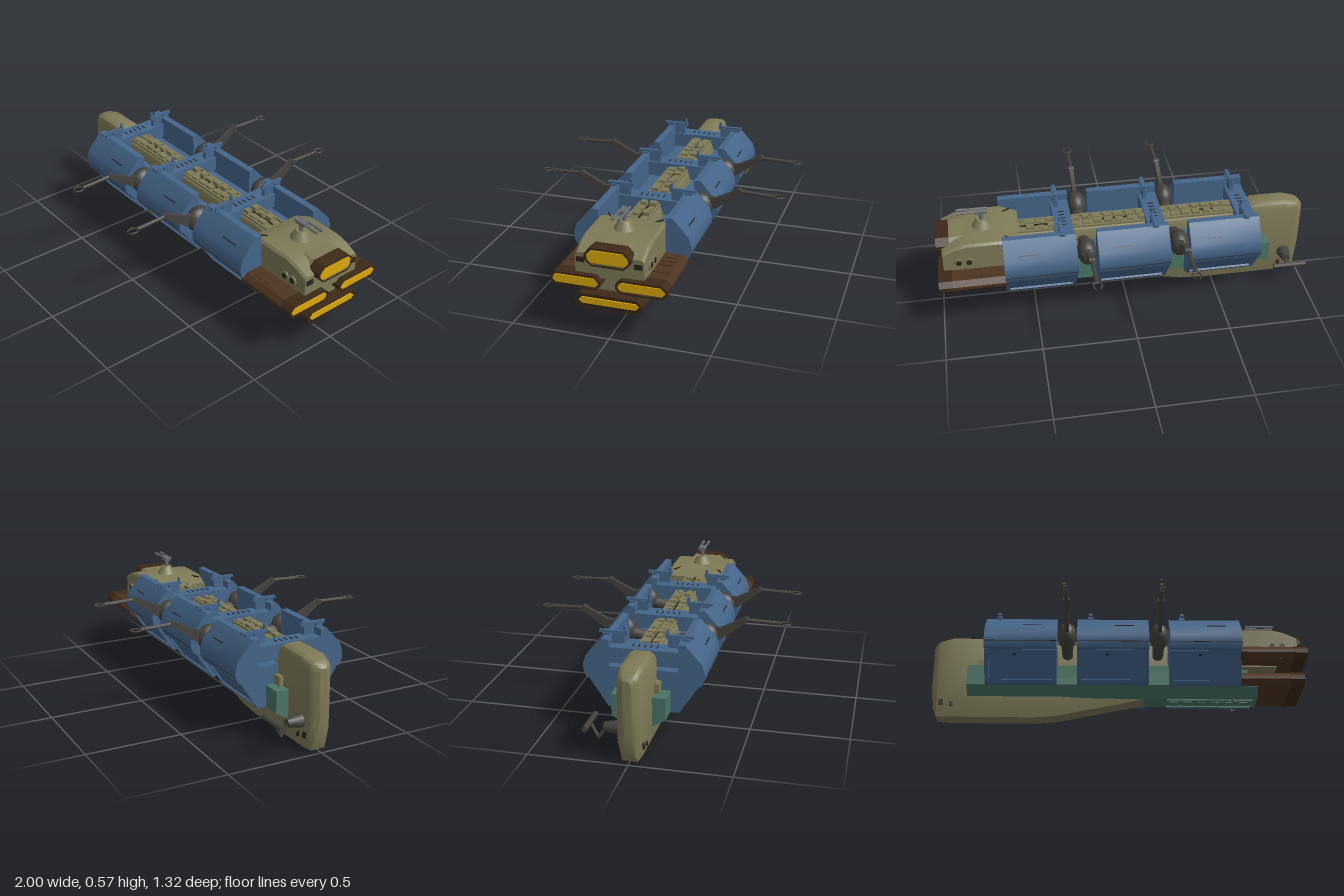
import * as THREE from 'three';
import { toCreasedNormals } from 'three/addons/utils/BufferGeometryUtils.js';

const mat = (name, color) => {
  const m = new THREE.MeshStandardMaterial({ color });
  m.name = name;
  return m;
};

export function createModel() {
  const root = new THREE.Group();
  root.name = 'cargoShip';
  const khaki = mat('khaki hull', 0x7d7957), blue = mat('blue pods', 0x456589), green = mat('green chassis', 0x4a7565),
    brown = mat('brown engines', 0x4d3420), gold = mat('gold glow', 0xdca80a), grey = mat('dark grey arms', 0x43423e),
    steel = mat('gun steel', 0x6b6c70), dark = mat('dark trim', 0x2b231b), darkBrown = mat('dark brown nozzles', 0x3d2917);

  const add = (name, geo, material, parent = root) => {
    const m = new THREE.Mesh(geo, material);
    m.name = name;
    parent.add(m);
    return m;
  };
  const group = (name, parent = root) => {
    const g = new THREE.Group();
    g.name = name;
    parent.add(g);
    return g;
  };
  // box from its centre and size
  const box = (name, c, s, material, parent) => {
    const m = add(name, new THREE.BoxGeometry(...s), material, parent);
    m.position.set(...c);
    return m;
  };
  // tapered rod between two points
  const rod = (name, a, b, r0, r1, material, parent, sides = 10) => {
    const p = new THREE.Vector3(...a), q = new THREE.Vector3(...b), d = q.clone().sub(p);
    const m = add(name, new THREE.CylinderGeometry(r1, r0, d.length(), sides), material, parent);
    m.position.copy(p).add(q).multiplyScalar(0.5);
    m.quaternion.setFromUnitVectors(new THREE.Vector3(0, 1, 0), d.normalize());
    return m;
  };
  // [z, y] outline extruded along x, optionally with a hole
  const path = (pts) => pts.map(([z, y]) => new THREE.Vector2(-z, y));
  const prism = (pts, x0, x1, hole) => {
    const s = new THREE.Shape(path(pts));
    if (hole) s.holes.push(new THREE.Path(path(hole)));
    const g = new THREE.ExtrudeGeometry(s, { depth: x1 - x0, bevelEnabled: false });
    return toCreasedNormals(g.rotateY(Math.PI / 2).translate(x0, 0, 0), 0.5);
  };
  const octagon = (cz, cy, w, h, c) => [[w, h - c], [w - c, h], [c - w, h], [-w, h - c], [-w, c - h], [c - w, -h], [w - c, -h], [w, c - h]]
    .map(([z, y]) => [cz + z, cy + y]);
  // rings of [z, y] at given x joined into a closed skin
  const loft = (stations) => {
    const v = [], rings = stations.map(([x, pts]) => pts.map(([z, y]) => [x, y, z]));
    const n = rings[0].length, last = rings[rings.length - 1];
    for (let i = 0; i < rings.length - 1; i++) {
      const a = rings[i], b = rings[i + 1];
      for (let j = 0; j < n; j++) {
        const k = (j + 1) % n;
        v.push(...a[j], ...b[j], ...b[k], ...a[j], ...b[k], ...a[k]);
      }
    }
    for (let j = 1; j < n - 1; j++) {
      v.push(...rings[0][0], ...rings[0][j], ...rings[0][j + 1], ...last[0], ...last[j + 1], ...last[j]);
    }
    const g = new THREE.BufferGeometry();
    g.setAttribute('position', new THREE.Float32BufferAttribute(v, 3));
    return toCreasedNormals(g, 0.55);
  };
  const mirrored = (half) => [...half, ...half.slice().reverse().map(([z, y]) => [-z, y])];
  let seed = 7;
  const rand = () => (seed = (seed * 16807) % 2147483647) / 2147483647;

  // tall nose, keel and spine: x, bottom y, bottom half width, half width, top y
  const hull = [
    [-1, 0.17, 0.018, 0.022, 0.43], [-0.985, 0.06, 0.03, 0.044, 0.447], [-0.965, 0.01, 0.038, 0.057, 0.458],
    [-0.9, 0.007, 0.045, 0.067, 0.476], [-0.72, 0.006, 0.045, 0.067, 0.476], [-0.66, 0.006, 0.045, 0.067, 0.44],
    [-0.44, 0.005, 0.045, 0.067, 0.44], [-0.32, 0.015, 0.045, 0.067, 0.44], [0.17, 0.118, 0.045, 0.067, 0.44], [0.62, 0.13, 0.045, 0.067, 0.44],
  ];
  add('noseAndSpine', loft(hull.map(([x, yb, bw, w, yt]) =>
    [x, mirrored([[bw, yb], [w, yb + 0.1], [w, yt - 0.035], [w * 0.85, yt - 0.012], [w * 0.55, yt]])])), khaki);
  for (const s of [1, -1]) {
    for (const [x, y, w] of [[-0.94, 0.085, 0.025], [-0.885, 0.075, 0.018]]) {
      const m = box('noseWindow', [x, y, s * 0.0615], [w, 0.03, 0.006], dark);
      m.rotation.x = -s * 0.2;
    }
    box('spineSideBlock', [-0.71, 0.295, s * 0.07], [0.08, 0.05, 0.04], khaki);
  }

  // pipes and small machinery on the spine
  const greebles = group('spineMachinery');
  for (const s of [1, -1]) box('spineRail', [-0.03, 0.443, s * 0.052], [1.2, 0.012, 0.01], khaki, greebles);
  for (let x = -0.58; x < 0.54; x += 0.06) {
    for (const z of [-0.026, 0.026]) {
      const h = 0.01 + rand() * 0.014;
      box('spineBlock', [x, 0.44 + h / 2, z], [0.03 + rand() * 0.025, h, 0.026 + rand() * 0.012], khaki, greebles);
    }
  }
  for (const x of [-0.46, 0.03, 0.47]) box('spineSlot', [x, 0.441, 0], [0.16, 0.006, 0.01], dark, greebles);

  // green chassis
  add('chassis', prism(mirrored([[0.06, 0.113], [0.135, 0.158], [0.135, 0.27]]), -0.8, 0.7), green);
  add('chassisTail', prism(mirrored([[0.06, 0.113], [0.13, 0.156], [0.13, 0.172]]), 0.7, 0.755), green);
  for (const z of [-0.045, 0.045]) box('bellyRail', [0.5, 0.111, z], [0.46, 0.012, 0.016], green);
  for (let i = 0; i < 6; i++) box('bellyBlock', [0.31 + i * 0.075, 0.111, 0], [0.045, 0.01, 0.045], green);
  for (const z of [-0.06, -0.02, 0.02, 0.06]) box('tailSlot', [0.756, 0.138, z], [0.004, 0.012, 0.026], dark);
  for (const z of [-0.06, 0.06]) {
    rod('bellyHook', [0.62, 0.12, z], [0.63, 0.088, z], 0.006, 0.006, grey);
    rod('bellyHookTip', [0.63, 0.09, z], [0.65, 0.1, z], 0.006, 0.003, grey);
  }

  // three pairs of cargo pods
  const podProfile = [[0.172, 0.508], [0.207, 0.51], [0.29, 0.418], [0.304, 0.37], [0.302, 0.335],
    [0.287, 0.303], [0.264, 0.303], [0.165, 0.155], [0.1, 0.155], [0.06, 0.37], [0.172, 0.37]];
  const slope = Math.atan2(0.148, 0.099);
  for (const [x0, x1] of [[-0.7, -0.32], [-0.212, 0.168], [0.278, 0.658]]) {
    const xm = (x0 + x1) / 2, len = x1 - x0;
    // bridge over the spine joining the two pods
    box('podBridge', [x0 + 0.048, 0.43, 0], [0.096, 0.08, 0.35], blue);
    for (let i = 0; i < 5; i++) box('bridgeRivet', [x0 + 0.048, 0.471, (i - 2) * 0.03], [0.03, 0.004, 0.005], dark);
    for (const s of [1, -1]) {
      const pod = group(s > 0 ? 'podLeft' : 'podRight');
      add('podShell', prism(podProfile.map(([z, y]) => [s * z, y]), x0, x1), blue, pod);
      // framed door on the sloping lower side
      const door = group('podDoor', pod);
      door.position.set(xm, 0.23, s * 0.216);
      door.rotation.x = s * (Math.PI / 2 - slope);
      for (const e of [1, -1]) {
        box('doorFrameSide', [e * (len / 2 - 0.012), 0, 0], [0.02, 0.174, 0.02], blue, door);
        box('doorFrameEdge', [0, e * 0.08, 0], [len - 0.024, 0.014, 0.02], blue, door);
      }
      box('doorHandle', [-0.03, 0.062, s * 0.005], [0.014, 0.01, 0.008], dark, door);
      // thin slot and seam on the shell
      const slot = box('shellSlot', [xm + 0.06, 0.444, s * 0.2665], [0.1, 0.006, 0.005], dark, pod);
      slot.rotation.x = -s * 0.73;
      const seam = box('shellSeam', [xm, 0.335, s * 0.3005], [len, 0.003, 0.005], dark, pod);
      seam.rotation.x = s * 0.2;
      // crane bar on top
      const xb = x0 + 0.07;
      box('craneBar', [xb, 0.526, s * 0.165], [0.018, 0.014, 0.14], blue, pod);
      box('craneFoot', [xb, 0.514, s * 0.2], [0.03, 0.014, 0.035], blue, pod);
      rod('cranePost', [xb, 0.51, s * 0.107], [xb, 0.556, s * 0.107], 0.008, 0.008, blue, pod);
      box('craneBrace', [xb, 0.485, s * 0.14], [0.024, 0.075, 0.06], blue, pod);
    }
  }

  // four manipulator arms between the pods
  const upperArm = [[0.21, 0.45], [0.3, 0.452], [0.42, 0.512], [0.435, 0.492], [0.31, 0.395], [0.21, 0.37]];
  for (const x of [-0.267, 0.224]) {
    for (const s of [1, -1]) {
      const arm = group(s > 0 ? 'armLeft' : 'armRight');
      const shoulder = add('shoulder', new THREE.SphereGeometry(0.052, 20, 14), grey, arm);
      shoulder.scale.set(1, 1.35, 1.4);
      shoulder.position.set(x, 0.402, s * 0.22);
      rod('shoulderMount', [x, 0.36, s * 0.05], [x, 0.39, s * 0.2], 0.03, 0.035, grey, arm);
      add('upperArm', prism(upperArm.map(([z, y]) => [s * z, y]), x - 0.011, x + 0.011), grey, arm);
      rod('elbow', [x - 0.016, 0.503, s * 0.43], [x + 0.016, 0.503, s * 0.43], 0.015, 0.015, grey, arm);
      rod('forearm', [x, 0.503, s * 0.43], [x, 0.498, s * 0.6], 0.011, 0.008, grey, arm);
      for (const z of [0.55, 0.575, 0.597]) rod('wristRing', [x, 0.499, s * (z - 0.006)], [x, 0.499, s * (z + 0.006)], 0.012, 0.012, grey, arm);
      const claw = add('claw', new THREE.TorusGeometry(0.022, 0.005, 6, 16, Math.PI * 1.5), grey, arm);
      claw.rotation.set(Math.PI / 2, 0, s > 0 ? -Math.PI * 1.25 : -Math.PI * 0.25);
      claw.position.set(x, 0.498, s * 0.628);
      for (const e of [1, -1]) rod('clawTip', [x + e * 0.018, 0.498, s * 0.642], [x + e * 0.01, 0.498, s * 0.66], 0.005, 0.003, grey, arm);
    }
  }

  // stern block carrying the turret: x, half width, bottom y, top y
  const stern = [[0.56, 0.165, 0.33, 0.44], [0.65, 0.172, 0.25, 0.476], [0.84, 0.172, 0.25, 0.476], [0.9, 0.172, 0.27, 0.462], [0.97, 0.17, 0.31, 0.43]];
  add('sternBlock', loft(stern.map(([x, w, yb, yt]) =>
    [x, mirrored([[w, yb], [w, yt - 0.012], [w - 0.012, yt]])])), khaki);
  box('sternCore', [0.79, 0.255, 0], [0.3, 0.16, 0.14], khaki);
  for (const s of [1, -1]) {
    for (const x of [0.835, 0.888]) {
      rod('portRing', [x, 0.372, s * 0.168], [x, 0.372, s * 0.179], 0.025, 0.025, khaki, root, 20);
      rod('portGlass', [x, 0.372, s * 0.178], [x, 0.372, s * 0.181], 0.015, 0.015, dark, root, 20);
    }
    box('sternVent', [0.972, 0.395, s * 0.142], [0.008, 0.025, 0.04], dark);
    const line = box('deckSeam', [0.63, 0.469, s * 0.12], [0.08, 0.008, 0.004], dark);
    line.rotation.y = s * 0.6;
  }

  // engines: centre z, centre y, half width, half height, start x, casing, rim width
  const engines = [['topEngine', 0, 0.428, 0.112, 0.045, 0.84, khaki, 0.013], ['leftEngine', 0.163, 0.292, 0.125, 0.034, 0.65, brown, 0.013],
    ['rightEngine', -0.163, 0.292, 0.125, 0.034, 0.65, brown, 0.013], ['bottomEngine', 0, 0.195, 0.167, 0.036, 0.66, brown, 0.02]];
  for (const [name, z, y, w, h, x, casing, rim] of engines) {
    const e = group(name), c = h * 0.75;
    add('engineCasing', prism(octagon(z, y, w, h, c), x, 0.93), casing, e);
    add('engineNozzle', prism(octagon(z, y, w + 0.002, h + 0.002, c), 0.93, 1, octagon(z, y, w - 0.01, h - 0.008, c * 0.75)), darkBrown, e);
    add('engineRim', prism(octagon(z, y, w - 0.009, h - 0.007, c * 0.75), 0.93, 0.99), dark, e);
    add('engineGlow', prism(octagon(z, y, w - rim, h - rim, c * 0.5), 0.99, 0.997), gold, e);
    if (Math.abs(z) > 0) {
      for (const dx of [0.7, 0.74, 0.78]) box('engineVent', [dx, y + h, z + Math.sign(z) * 0.055], [0.025, 0.01, 0.06], brown, e);
      box('engineBand', [0.86, y, z], [0.012, h * 2 + 0.008, w * 1.6], brown, e);
    }
  }

  // twin gun turret
  const turret = group('turret');
  rod('turretBase', [0.752, 0.47, 0], [0.752, 0.52, 0], 0.058, 0.028, khaki, turret, 16);
  rod('turretNeck', [0.752, 0.52, 0], [0.752, 0.555, 0], 0.012, 0.012, steel, turret);
  box('gunCradle', [0.755, 0.565, 0], [0.06, 0.02, 0.034], steel, turret);
  for (const z of [-0.016, 0.016]) {
    rod('gunBarrel', [0.72, 0.572, z], [0.88, 0.572, z], 0.006, 0.005, steel, turret);
    rod('gunMuzzle', [0.83, 0.572, z], [0.875, 0.572, z], 0.008, 0.008, steel, turret);
  }

  // side gun on the right of the nose
  const gun = group('noseGun');
  rod('gunMount', [-0.905, 0.15, -0.055], [-0.905, 0.15, -0.14], 0.038, 0.022, grey, gun, 16);
  rod('gunLowerArm', [-0.905, 0.15, -0.13], [-0.905, 0.087, -0.168], 0.009, 0.008, grey, gun);
  rod('gunUpperArm', [-0.905, 0.087, -0.168], [-0.905, 0.163, -0.21], 0.008, 0.008, grey, gun);
  rod('gunTube', [-0.99, 0.163, -0.212], [-0.81, 0.163, -0.212], 0.014, 0.014, grey, gun);

  return root;
}
